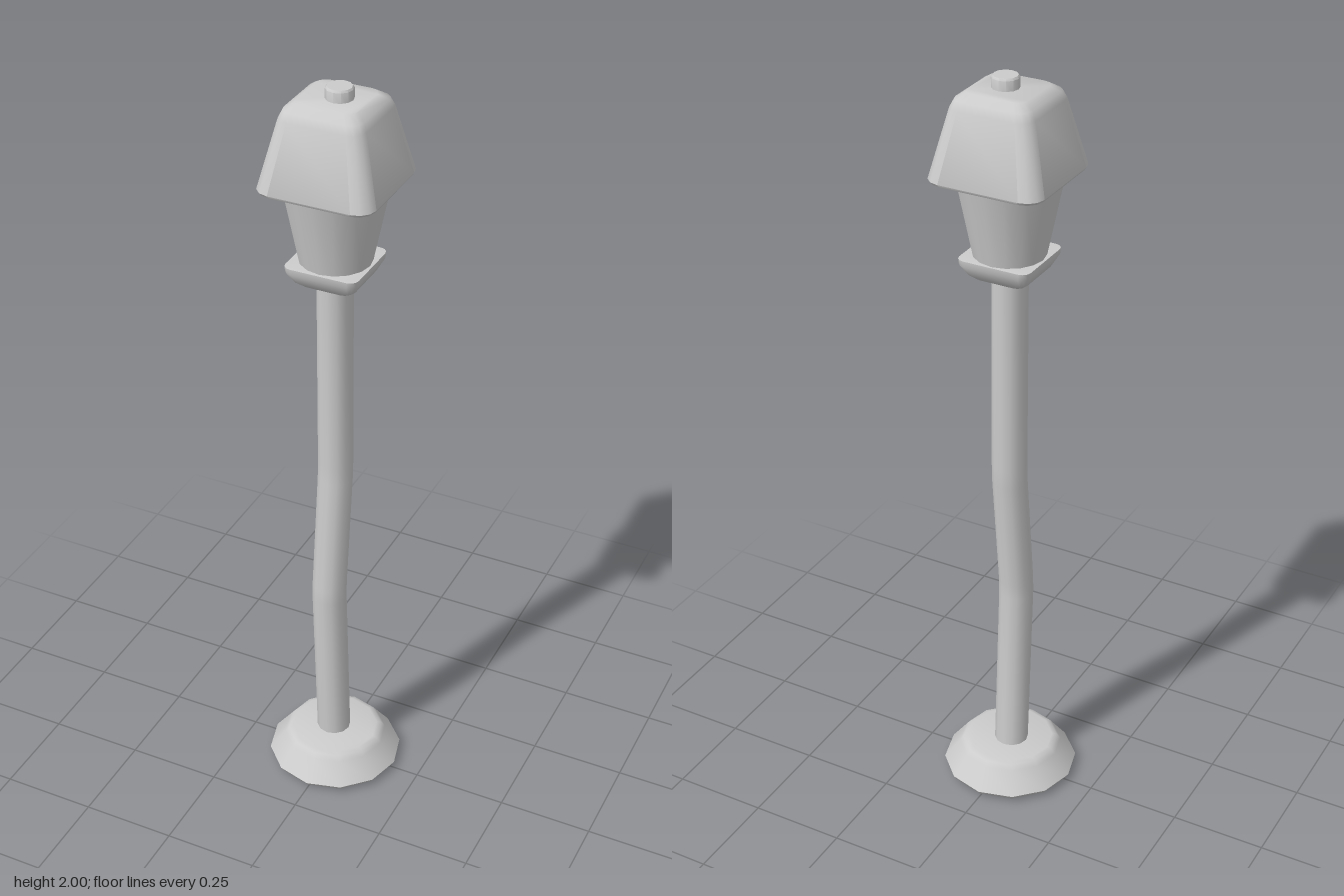
import * as THREE from 'three';
import { toCreasedNormals } from 'three/addons/utils/BufferGeometryUtils.js';

const material = new THREE.MeshStandardMaterial({ color: 0xcccccc });

// Horizontal ring of points around (x, y, z)
function circle(x, y, z, r, sides = 12) {
  return Array.from({ length: sides }, (_, i) => {
    const a = (i / sides) * Math.PI * 2;
    return [x + r * Math.cos(a), y, z - r * Math.sin(a)];
  });
}

// Horizontal square ring with rounded corners
function roundedSquare(x, y, z, half, corner, steps = 3) {
  const points = [];
  const inner = half - corner;
  for (let k = 0; k < 4; k++) {
    const mid = Math.PI / 4 + (k * Math.PI) / 2;
    const cx = Math.sign(Math.cos(mid)) * inner;
    const cz = Math.sign(Math.sin(mid)) * inner;
    for (let s = 0; s <= steps; s++) {
      const a = (k + s / steps) * Math.PI / 2;
      points.push([x + cx + corner * Math.cos(a), y, z - cz - corner * Math.sin(a)]);
    }
  }
  return points;
}

// Closed solid skinned over rings listed from bottom to top
function loft(rings, crease) {
  const n = rings[0].length;
  const positions = rings.flat(2);
  const index = [];
  for (let i = 0; i < rings.length - 1; i++) {
    for (let j = 0; j < n; j++) {
      const a = i * n + j, b = i * n + (j + 1) % n;
      index.push(a, b, a + n, b, b + n, a + n);
    }
  }
  const last = (rings.length - 1) * n;
  for (let j = 1; j < n - 1; j++) {
    index.push(0, j + 1, j);
    index.push(last, last + j, last + j + 1);
  }
  const geometry = new THREE.BufferGeometry();
  geometry.setAttribute('position', new THREE.Float32BufferAttribute(positions, 3));
  geometry.setIndex(index);
  return toCreasedNormals(geometry, crease);
}

export function createModel() {
  const group = new THREE.Group();
  const add = (name, rings, crease = 0.8) => {
    const mesh = new THREE.Mesh(loft(rings, crease), material);
    mesh.name = name;
    group.add(mesh);
  };

  // Twelve-sided foot with softened rims
  add('base', [[0, 0.15], [0.008, 0.172], [0.02, 0.18], [0.075, 0.138], [0.088, 0.128], [0.092, 0.115]]
    .map(([y, r]) => circle(0, y, 0, r)), 1.0);

  // Pole with a slight kink towards the front
  add('pole', [[0.06, -0.004], [0.56, 0.024], [0.6, 0.023], [0.92, -0.011], [0.97, -0.013], [1.52, -0.01]]
    .map(([y, z]) => circle(-0.005, y, z, 0.045)));

  // Square tray under the lamp
  add('lampTray', [[1.5, 0.067], [1.512, 0.08], [1.54, 0.095], [1.555, 0.096], [1.556, 0.085]]
    .map(([y, h]) => roundedSquare(-0.002, y, -0.006, h, 0.022)));

  // Round tapered glass
  add('lampGlass', [[1.54, 0.087], [1.77, 0.133]]
    .map(([y, r]) => circle(-0.002, y, -0.007, r, 16)));

  // Square tapered shade with a rounded top
  add('lampShade', [[1.758, 0.146, 0.045], [1.765, 0.15, 0.045], [1.935, 0.109, 0.035],
    [1.955, 0.1, 0.032], [1.97, 0.078, 0.025]]
    .map(([y, h, c]) => roundedSquare(0, y, -0.008, h, c)));

  // Small knob on top
  add('knob', [[1.96, 0.034], [1.995, 0.034], [2, 0.03]]
    .map(([y, r]) => circle(0.008, y, -0.007, r)));

  return group;
}
